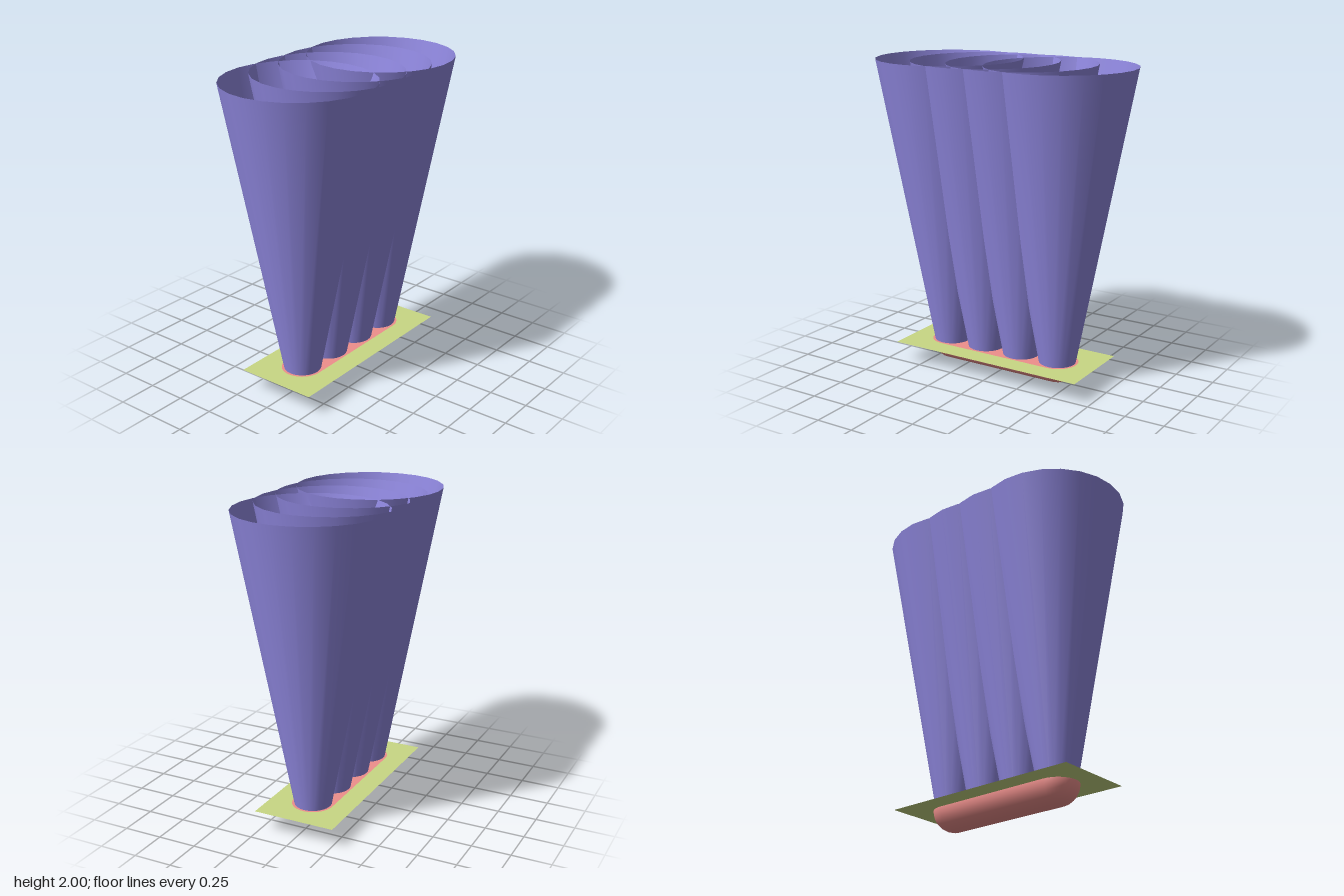
import * as THREE from 'three';

const U = 2 / 15;          // base radius; everything is proportioned from it
const SIDES = 24;
const CENTRES = [-3, -1, 1, 3].map((i) => i * U);

const material = (color) => new THREE.MeshStandardMaterial({ color, side: THREE.DoubleSide });

export function createModel() {
  const model = new THREE.Group();
  const purple = material(0x9088e0);
  const pink = material(0xee8f8c);
  const green = material(0xc8d884);

  const add = (parent, name, geometry, mat) => {
    const mesh = new THREE.Mesh(geometry, mat);
    mesh.name = name;
    parent.add(mesh);
    return mesh;
  };

  // Four overlapping open cones flaring upward
  const cones = new THREE.Group();
  cones.name = 'cones';
  model.add(cones);
  const coneGeometry = new THREE.CylinderGeometry(3.5 * U, 0.118, 14 * U, SIDES, 1, true);
  CENTRES.forEach((x, i) => {
    add(cones, `cone${i + 1}`, coneGeometry, purple).position.set(x, 8 * U, 0);
  });

  // Trough: lower half of a capsule lying along x
  const trough = new THREE.Group();
  trough.name = 'trough';
  trough.position.y = U;
  model.add(trough);
  const profile = [];
  for (const end of [-1, 1]) {
    for (let i = 0; i <= 8; i++) {
      const a = (end < 0 ? i - 8 : i) / 8 * Math.PI / 2;
      profile.push(new THREE.Vector2(U * Math.max(Math.cos(a), 0), end * 3 * U + U * Math.sin(a)));
    }
  }
  const shell = new THREE.LatheGeometry(profile, SIDES / 2, Math.PI, Math.PI);
  shell.rotateZ(Math.PI / 2);
  add(trough, 'troughShell', shell, pink);

  // Flat stadium-shaped lid of the trough
  const stadium = new THREE.Shape();
  stadium.absarc(3 * U, 0, U, -Math.PI / 2, Math.PI / 2);
  stadium.absarc(-3 * U, 0, U, Math.PI / 2, Math.PI * 1.5);
  const lid = new THREE.ShapeGeometry(stadium, 12);
  lid.rotateX(-Math.PI / 2);
  add(trough, 'troughLid', lid, pink).position.y = 0.0008;

  // Thin plate at the rim of the trough
  const plate = new THREE.PlaneGeometry(10 * U, 4 * U);
  plate.rotateX(-Math.PI / 2);
  add(model, 'plate', plate, green).position.y = U;

  return model;
}
